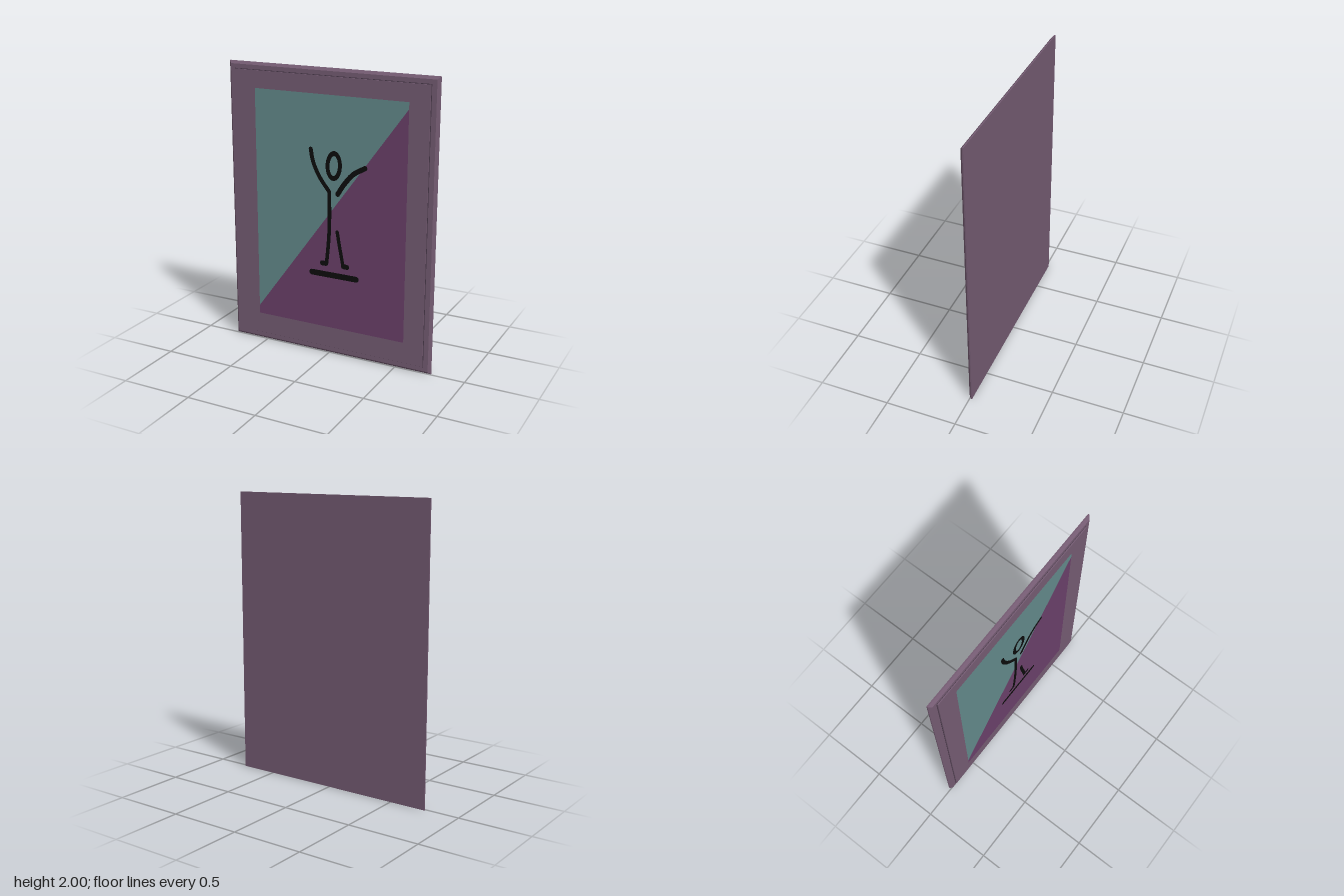
import * as THREE from 'three';

const material = (name, color) => {
  const m = new THREE.MeshStandardMaterial({ color });
  m.name = name;
  return m;
};

export function createModel() {
  const group = new THREE.Group();
  const mauve = material('mauve frame', 0x745b72);
  const shade = material('dark groove', 0x49394a);
  const teal = material('teal', 0x62898a);
  const plum = material('plum', 0x6a4069);
  const black = material('black', 0x0c0c0c);

  const add = (name, geometry, mat, z = 0) => {
    const mesh = new THREE.Mesh(geometry, mat);
    mesh.name = name;
    mesh.position.z = z;
    group.add(mesh);
    return mesh;
  };

  // Slab whose front face is inset on every side, centred on y = 1
  const slab = (w, h, z0, z1, inset = 0) => {
    const g = new THREE.BoxGeometry(w, h, z1 - z0);
    const p = g.attributes.position;
    for (let i = 0; i < p.count; i++) {
      if (p.getZ(i) > 0) {
        p.setX(i, p.getX(i) - Math.sign(p.getX(i)) * inset);
        p.setY(i, p.getY(i) - Math.sign(p.getY(i)) * inset);
      }
    }
    g.translate(0, 1, (z0 + z1) / 2);
    g.computeVertexNormals();
    return g;
  };

  // Backing, bevelled rim and raised panel
  add('backing', slab(1.52, 2, -0.017, -0.009), mauve);
  add('bevelledRim', slab(1.52, 2, -0.009, 0.008, 0.018), mauve);
  add('panelGroove', slab(1.418, 1.906, 0.008, 0.0095), shade);
  add('raisedPanel', slab(1.41, 1.898, 0.008, 0.0165), mauve);

  // Two-coloured picture, split along a diagonal
  const polygon = (pts) => new THREE.ShapeGeometry(new THREE.Shape(pts.map(([x, y]) => new THREE.Vector2(x, y))));
  const [l, r, b, t] = [-0.553, 0.565, 0.2, 1.83];
  add('upperField', polygon([[l, 0.26], [r, 1.785], [r, t], [l, t]]), teal, 0.0172);
  add('lowerField', polygon([[l, b], [r, b], [r, 1.785], [l, 0.26]]), plum, 0.0172);

  // Flat brush stroke with round ends along a smooth path
  const stroke = (name, pts, width) => {
    const curve = new THREE.CatmullRomCurve3(pts.map(([x, y]) => new THREE.Vector3(x, y, 0)), false, 'centripetal');
    const n = pts.length > 2 ? 28 : 1, left = [], right = [], half = width / 2;
    const cap = (p, angle) => Array.from({ length: 9 }, (_, i) => {
      const a = angle - Math.PI / 2 + (Math.PI * i) / 8;
      return new THREE.Vector2(p.x + Math.cos(a) * half, p.y + Math.sin(a) * half);
    });
    for (let i = 0; i <= n; i++) {
      const p = curve.getPointAt(i / n), d = curve.getTangentAt(i / n);
      right.push(new THREE.Vector2(p.x + d.y * half, p.y - d.x * half));
      left.unshift(new THREE.Vector2(p.x - d.y * half, p.y + d.x * half));
    }
    const d0 = curve.getTangentAt(0), d1 = curve.getTangentAt(1);
    const outline = [
      ...right.slice(0, -1), ...cap(curve.getPointAt(1), Math.atan2(d1.y, d1.x)),
      ...left.slice(1, -1), ...cap(curve.getPointAt(0), Math.atan2(-d0.y, -d0.x)).slice(0, -1),
    ];
    add(name, new THREE.ShapeGeometry(new THREE.Shape(outline)), black, 0.0178);
  };

  // Stick figure
  stroke('raisedRightArm', [[-0.13, 1.458], [-0.113, 1.375], [-0.065, 1.275], [0.007, 1.18]], 0.03);
  stroke('bodyAndLeg', [[0.007, 1.18], [0.01, 1.03], [0.005, 0.86], [-0.012, 0.675]], 0.027);
  stroke('rightFoot', [[-0.045, 0.668], [-0.02, 0.668]], 0.036);
  stroke('leftArm', [[0.07, 1.17], [0.115, 1.24], [0.185, 1.32], [0.268, 1.37]], 0.034);
  stroke('leftLeg', [[0.068, 0.905], [0.085, 0.81], [0.11, 0.68]], 0.026);
  stroke('leftFoot', [[0.115, 0.667], [0.141, 0.667]], 0.036);
  stroke('groundLine', [[-0.125, 0.59], [0.21, 0.59]], 0.042);

  // Oval ring head
  const head = new THREE.Shape().absellipse(0.041, 1.36, 0.06, 0.102, 0, Math.PI * 2, false, -0.06);
  head.holes.push(new THREE.Path().absellipse(0.041, 1.36, 0.031, 0.068, 0, Math.PI * 2, true, -0.06));
  add('head', new THREE.ShapeGeometry(head, 24), black, 0.0178);

  return group;
}
